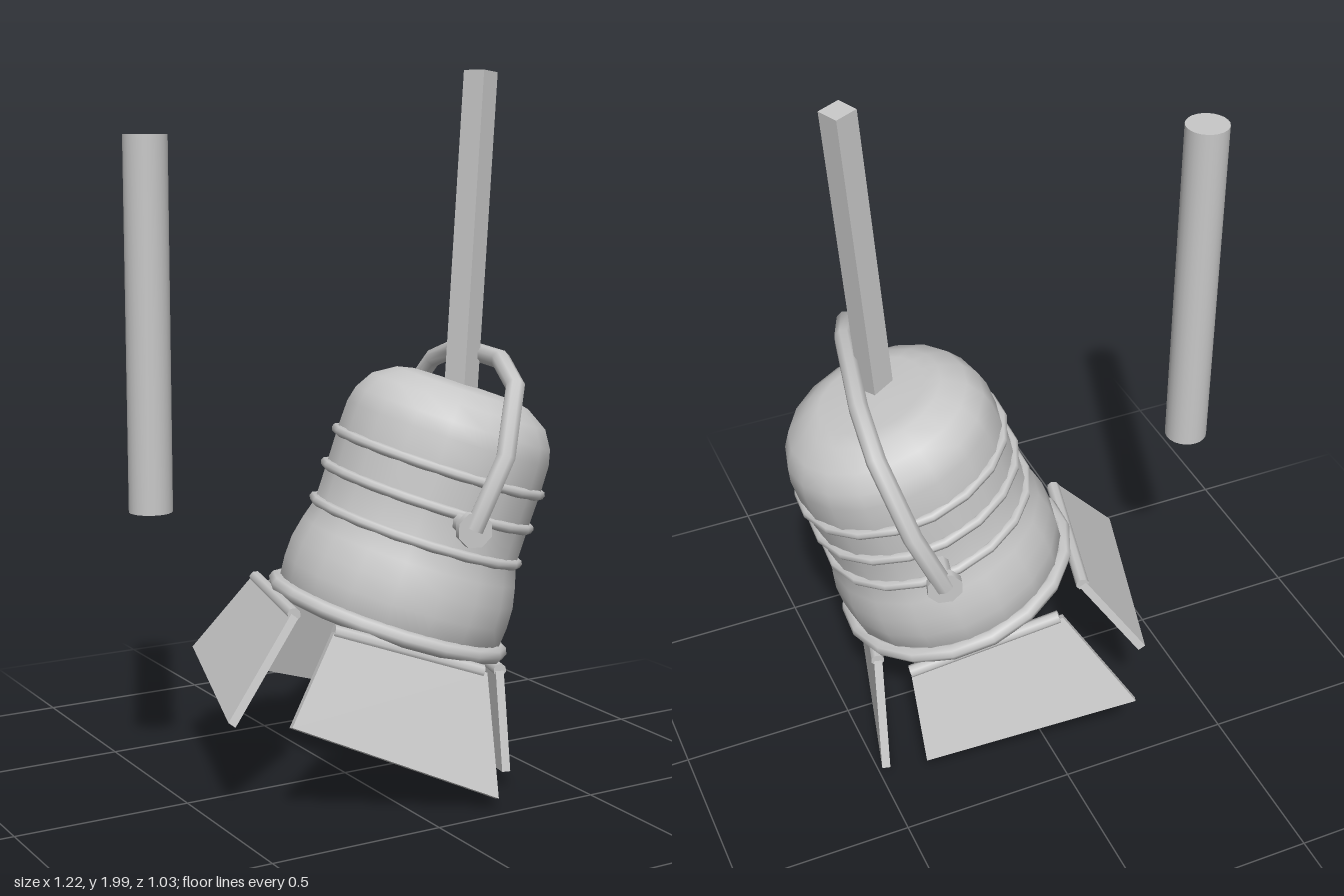
import * as THREE from 'three';

const rad = THREE.MathUtils.degToRad;

export function createModel() {
  const grey = new THREE.MeshStandardMaterial({ color: 0xc8c8c8 });
  grey.name = 'plain grey';
  const root = new THREE.Group();
  root.name = 'stageLamp';

  const group = (name, parent, x, y, z, yaw, tilt) => {
    const g = new THREE.Group();
    g.name = name;
    g.position.set(x, y, z);
    g.rotation.set(0, rad(yaw), rad(tilt), 'YXZ');
    parent.add(g);
    return g;
  };
  const add = (name, geometry, parent) => {
    const m = new THREE.Mesh(geometry, grey);
    m.name = name;
    parent.add(m);
    return m;
  };

  // Lamp housing: a tilted can with a domed top
  const lamp = group('lamp', root, 0.133, 0.438, 0, -14, -18.8);
  const profile = [
    [0, 0.02], [0.3, 0.01], [0.33, 0.02], [0.337, 0.1], [0.335, 0.16], [0.322, 0.22], [0.304, 0.28],
    [0.304, 0.38], [0.306, 0.5], [0.304, 0.575], [0.293, 0.62], [0.262, 0.67], [0.2, 0.708], [0.155, 0.718], [0, 0.722],
  ].map(([r, y]) => new THREE.Vector2(r, y));
  add('housing', new THREE.LatheGeometry(profile, 18), lamp);

  // Front rim and the three raised bands
  [[0.335, 0.024, 0.022], [0.305, 0.015, 0.28], [0.305, 0.015, 0.385], [0.305, 0.015, 0.487]].forEach(([r, tube, y], i) => {
    const ring = add(i ? 'band' : 'rim', new THREE.TorusGeometry(r, tube, 8, 18), lamp);
    ring.rotation.x = Math.PI / 2;
    ring.position.y = y;
  });

  // Four splayed, slightly skewed barn doors, each hung from a hinge bar
  const outline = new THREE.Shape(
    [[-0.285, -0.275], [0.338, -0.325], [0.235, 0], [-0.225, 0]].map(([x, y]) => new THREE.Vector2(x, y)));
  const doorGeometry = new THREE.ExtrudeGeometry(outline, { depth: 0.024, bevelEnabled: false });
  doorGeometry.translate(0, 0, -0.012);
  const hingeGeometry = new THREE.CylinderGeometry(0.019, 0.019, 0.45, 8).rotateZ(Math.PI / 2);
  for (let i = 0; i < 4; i++) {
    const side = group('barnDoor', lamp, -0.028, 0, 0, i * 90, 0);
    const door = add('doorPanel', doorGeometry, side);
    door.position.set(0, -0.012, 0.315);
    door.rotation.x = rad(-19);
    add('hingeBar', hingeGeometry, side).position.set(0, -0.01, 0.315);
  }

  // Yoke: a bent tube over the housing
  const yoke = group('yoke', root, 0.237, 0.79, 0.018, -13, -23);
  const half = [[0.435, 0], [0.45, 0.21], [0.33, 0.395], [0.165, 0.452]];
  const bend = [...half, ...half.map(([w, v]) => [-w, v]).reverse()].map(([w, v]) => new THREE.Vector3(0, v, w));
  const path = new THREE.CatmullRomCurve3(bend);
  path.getPointAt = (t, target) => path.getPoint(t, target);
  path.getTangentAt = (t, target) => path.getTangent(t, target);
  add('yokeTube', new THREE.TubeGeometry(path, bend.length - 1, 0.027, 8), yoke);

  // Pivot pin and knob at each yoke end
  for (const s of [1, -1]) {
    const pin = add('pivotPin', new THREE.CylinderGeometry(0.028, 0.028, 0.09, 8), yoke);
    pin.rotation.x = Math.PI / 2;
    pin.position.z = s * 0.388;
    const knob = add('pivotKnob', new THREE.CylinderGeometry(0.05, 0.05, 0.024, 8), yoke);
    knob.rotation.x = Math.PI / 2;
    knob.position.z = s * 0.435;
  }

  // Square hanging pole
  const pole = group('hangingPole', root, 0.367, 1.534, 0.069, 22, -5.3);
  add('poleBar', new THREE.BoxGeometry(0.068, 0.93, 0.068), pole);

  // Separate round rod
  add('roundRod', new THREE.CylinderGeometry(0.06, 0.06, 1.01, 24), root).position.set(-0.553, 1.32, -0.094);

  return root;
}
